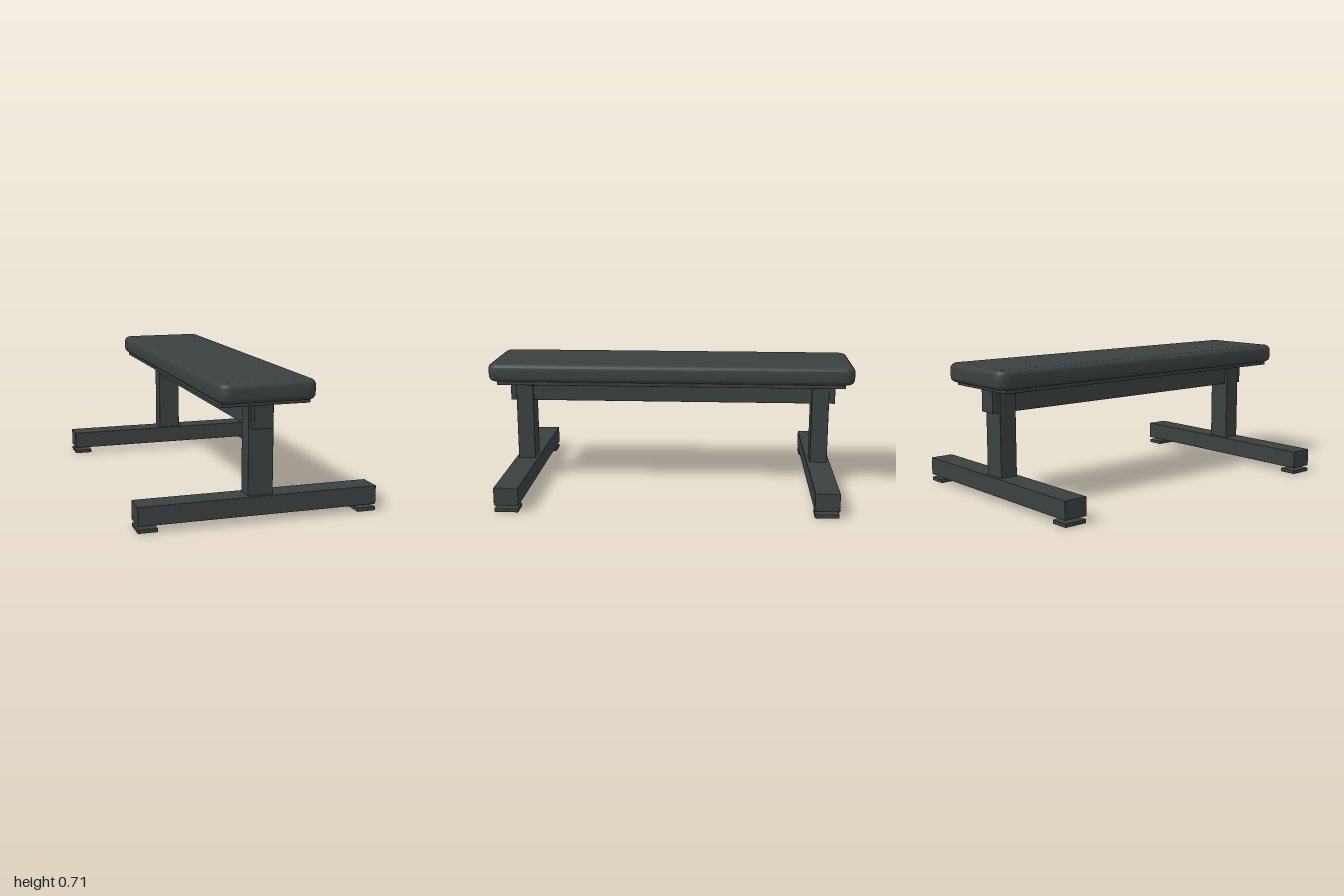
import * as THREE from 'three';
import { toCreasedNormals } from 'three/addons/utils/BufferGeometryUtils.js';
import { RoundedBoxGeometry } from 'three/addons/geometries/RoundedBoxGeometry.js';

const charcoal = new THREE.MeshStandardMaterial({ name: 'charcoal', color: 0x3a4040 });

// Box given by its x, y and z ranges, with slightly eased edges
function bar(parent, name, [x0, x1], [y0, y1], [z0, z1]) {
  const geometry = new RoundedBoxGeometry(x1 - x0, y1 - y0, z1 - z0, 2, 0.003);
  const mesh = new THREE.Mesh(geometry, charcoal);
  mesh.name = name;
  mesh.position.set((x0 + x1) / 2, (y0 + y1) / 2, (z0 + z1) / 2);
  parent.add(mesh);
}

// Cushion: rounded outline with a soft rolled edge
function cushion(width, height, length, corner, roll) {
  const w = width / 2 - roll, l = length / 2 - roll, r = corner - roll;
  const outline = new THREE.Shape();
  outline.absarc(w - r, l - r, r, 0, Math.PI / 2);
  outline.absarc(r - w, l - r, r, Math.PI / 2, Math.PI);
  outline.absarc(r - w, r - l, r, Math.PI, Math.PI * 1.5);
  outline.absarc(w - r, r - l, r, Math.PI * 1.5, Math.PI * 2);
  outline.closePath();
  const geometry = new THREE.ExtrudeGeometry(outline, {
    depth: height - 2 * roll, bevelThickness: roll, bevelSize: roll,
    bevelSegments: 6, curveSegments: 8,
  });
  geometry.rotateX(-Math.PI / 2);
  geometry.translate(0, roll, 0);
  return toCreasedNormals(geometry, 0.6);
}

export function createModel() {
  const bench = new THREE.Group();
  bench.name = 'flatBench';

  // Padded top and its backing board
  const pad = new THREE.Mesh(cushion(0.5, 0.1, 2, 0.06, 0.03), charcoal);
  pad.name = 'pad';
  pad.position.y = 0.612;
  bench.add(pad);
  bar(bench, 'backingBoard', [-0.225, 0.225], [0.593, 0.613], [-0.95, 0.95]);

  // Central beam under the board
  bar(bench, 'beam', [-0.05, 0.05], [0.47, 0.594], [-0.915, 0.915]);

  // Leg frames at the front and back
  for (const [name, s] of [['frontLeg', 1], ['backLeg', -1]]) {
    const leg = new THREE.Group();
    leg.name = name;
    leg.position.z = s * 0.833;
    bar(leg, 'post', [-0.065, 0.065], [0.13, 0.594], [-0.048, 0.048]);
    bar(leg, 'crossbar', [-0.622, 0.622], [0.035, 0.132], [-0.065, 0.065]);
    bar(leg, 'leftFoot', [0.523, 0.622], [0, 0.02], [-0.063, 0.063]);
    bar(leg, 'rightFoot', [-0.622, -0.523], [0, 0.02], [-0.063, 0.063]);
    bench.add(leg);
  }
  return bench;
}
